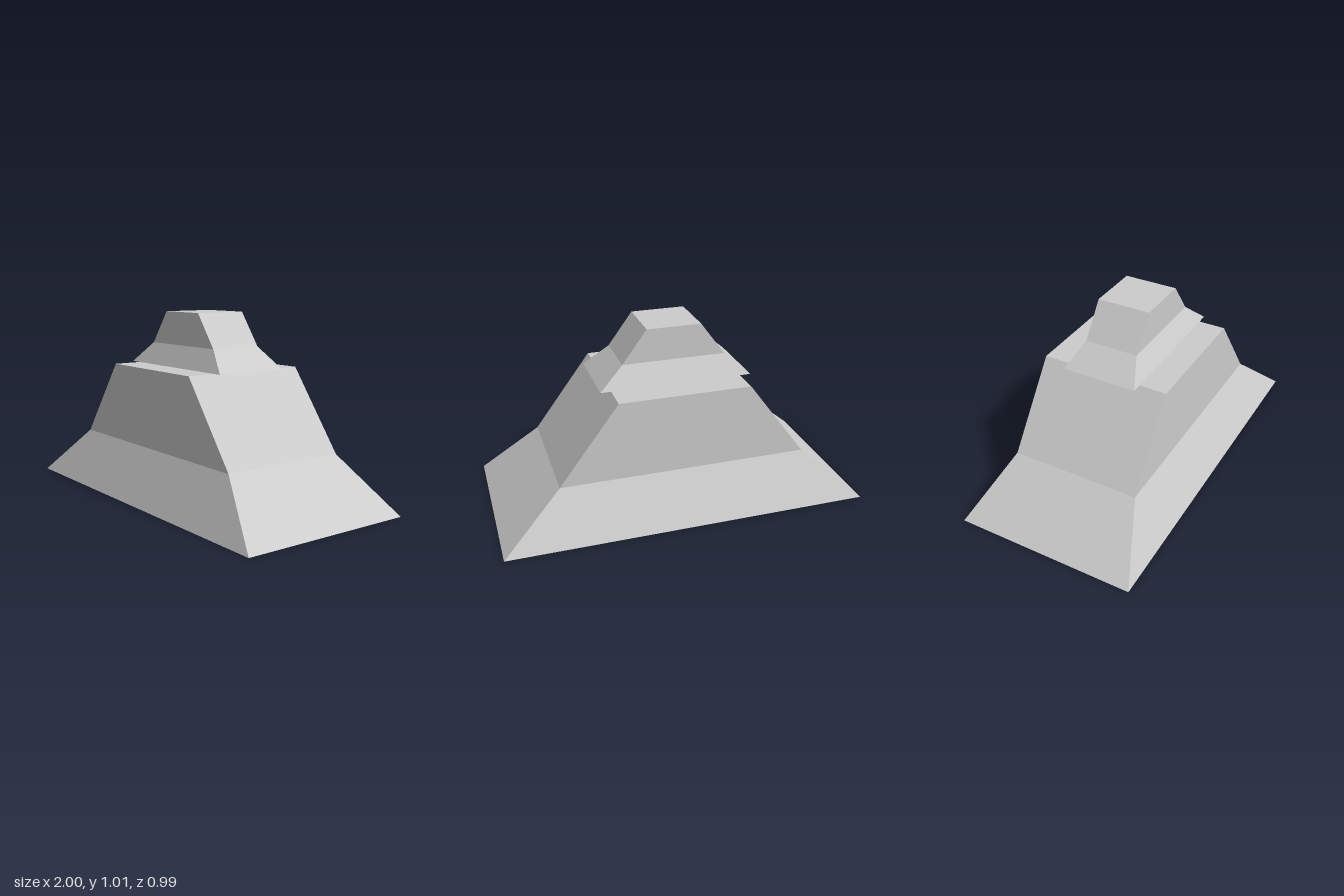
import * as THREE from 'three';

// Rectangular tier lofted through levels of [y, halfWidth, halfDepth]
function tier(name, levels, material) {
  const steps = levels.length - 1;
  const box = new THREE.BoxGeometry(2, 1, 2, 1, steps, 1);
  const p = box.attributes.position;
  for (let i = 0; i < p.count; i++) {
    const [y, w, d] = levels[Math.round((p.getY(i) + 0.5) * steps)];
    p.setXYZ(i, p.getX(i) * w, y, p.getZ(i) * d);
  }
  const geometry = box.toNonIndexed();
  geometry.computeVertexNormals();
  const mesh = new THREE.Mesh(geometry, material);
  mesh.name = name;
  return mesh;
}

export function createModel() {
  const group = new THREE.Group();
  group.name = 'tieredRoof';
  const grey = new THREE.MeshStandardMaterial({ color: 0xcccccc });
  grey.name = 'light grey';

  // Wide lower roof with flared eaves
  group.add(tier('lowerRoof', [
    [0, 1, 0.497],
    [0.284, 0.677, 0.356],
    [0.713, 0.356, 0.356],
  ], grey));

  // Small upper roof, overhanging the lower one at the sides
  group.add(tier('upperRoof', [
    [0.715, 0.414, 0.207],
    [0.83, 0.281, 0.148],
    [1.01, 0.148, 0.148],
  ], grey));

  return group;
}
